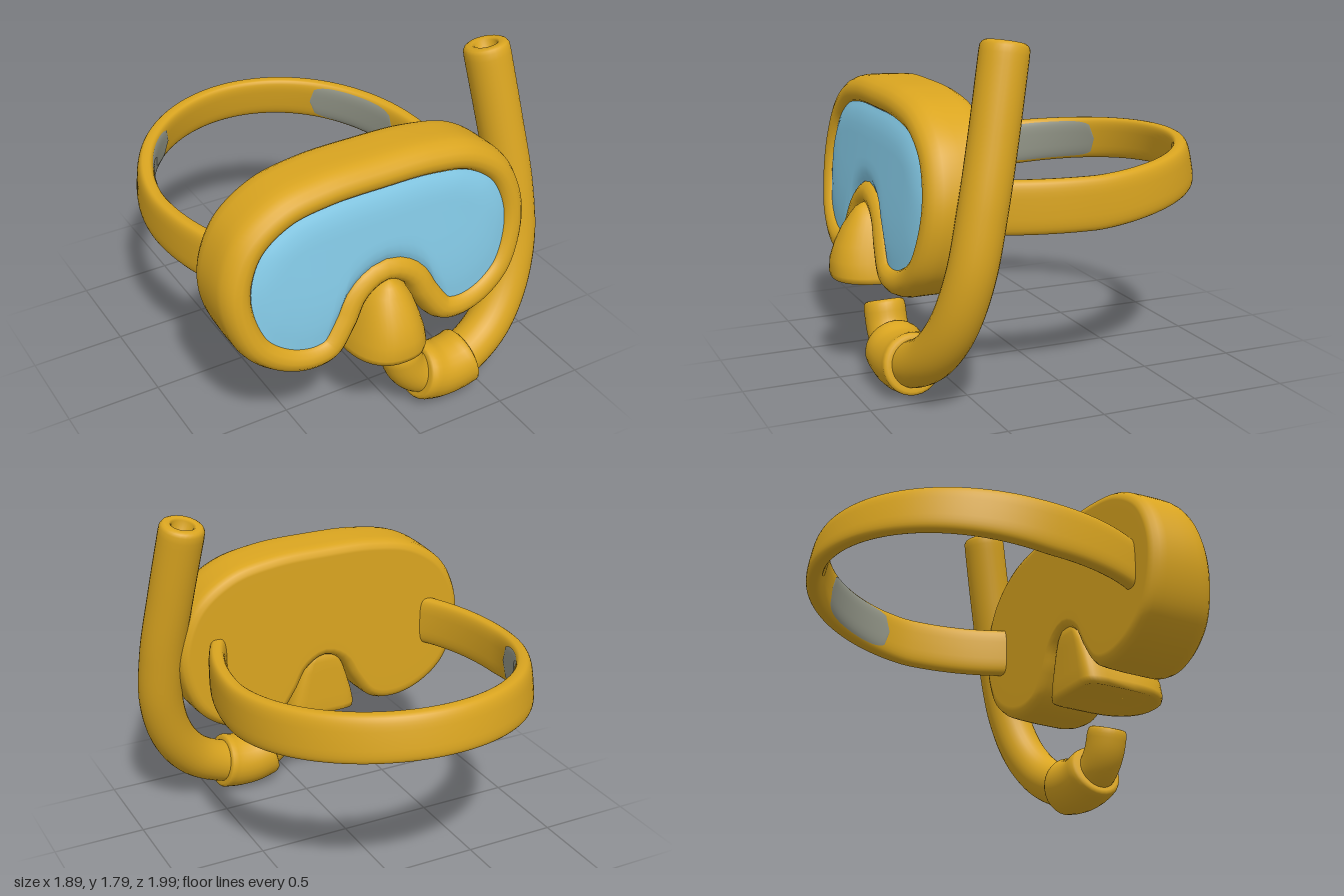
import * as THREE from 'three';

const CX = -0.095; // centre line of the mask
const V = (x, y, z) => new THREE.Vector3(x, y, z);
const spow = (v, p) => Math.sign(v) * Math.abs(v) ** p;

// Skin through rows of points; wrap closes each row into a loop. Faces are turned outwards.
function loft(rows, wrap = true) {
  const n = rows[0].length, cols = wrap ? n : n - 1, idx = [];
  for (let i = 0; i < rows.length - 1; i++) {
    for (let j = 0; j < cols; j++) {
      const k = (j + 1) % n;
      const a = i * n + j, b = i * n + k, c = (i + 1) * n + k, d = (i + 1) * n + j;
      idx.push(a, b, c, a, c, d);
    }
  }
  const pts = rows.flat();
  let vol = 0;
  const cr = V(0, 0, 0);
  for (let i = 0; i < idx.length; i += 3) vol += cr.crossVectors(pts[idx[i]], pts[idx[i + 1]]).dot(pts[idx[i + 2]]);
  if (vol < 0) idx.reverse();
  const g = new THREE.BufferGeometry().setFromPoints(pts);
  g.setIndex(idx);
  g.computeVertexNormals();
  return g;
}

// Pipe along a path; stages are [position along path 0..1, radius]
function pipe(points, stages, sides = 28) {
  const curve = new THREE.CatmullRomCurve3(points.map(p => V(...p)));
  const N = 200, fr = curve.computeFrenetFrames(N);
  return loft(stages.map(([t, r]) => {
    const c = curve.getPointAt(t), k = Math.round(t * N);
    return Array.from({ length: sides }, (_, j) => {
      const a = j / sides * Math.PI * 2;
      return c.clone().addScaledVector(fr.normals[k], r * Math.cos(a)).addScaledVector(fr.binormals[k], r * Math.sin(a));
    });
  }));
}
const span = (t0, t1, r, n) => Array.from({ length: n + 1 }, (_, i) => [t0 + (t1 - t0) * i / n, r]);

// Mask outline, clockwise from the top centre, mirrored about the centre line
const half = [[0, 1.5], [0.3, 1.49], [0.55, 1.435], [0.75, 1.29], [0.845, 1.08], [0.845, 0.88], [0.76, 0.67],
  [0.6, 0.545], [0.42, 0.503], [0.28, 0.54], [0.17, 0.68], [0.1, 0.8], [0, 0.85]];
const other = half.slice(1, -1).reverse().map(([x, y]) => [-x, y]);
const outline = new THREE.CatmullRomCurve3([...half, ...other].map(([x, y]) => V(CX + x, y, 0)), true, 'centripetal');
const N = 144;
const edge = Array.from({ length: N }, (_, i) => {
  const p = outline.getPointAt(i / N), t = outline.getTangentAt(i / N);
  return { p, nx: t.y, ny: -t.x };
});
// Gently bowed and tilted front surface
const frontZ = (x, y) => 0.75 + 0.12 * (1.45 - y) - 0.05 * (x - CX) ** 2;
// Loop moved inwards by d, then drawn by t towards a central spine
const ring = (d, t, zf) => edge.map(({ p, nx, ny }) => {
  let x = p.x + nx * d, y = p.y + ny * d;
  x += (CX + (x - CX) * 0.62 - x) * t;
  y += (1.15 - y) * t;
  return V(x, y, zf(x, y));
});

function maskFrame() {
  const rows = [];
  for (const t of [1, 0.75, 0.5, 0.25, 0.03]) rows.push(ring(0.05, t, () => 0.415));
  for (const [d, z] of [[0.045, 0.416], [0.022, 0.428], [0.008, 0.455], [0.004, 0.5], [0, 0.6]]) rows.push(ring(d, 0, () => z));
  for (const [d, h] of [[0, -0.09], [0.006, -0.055], [0.022, -0.02], [0.045, 0.002], [0.075, 0.012],
    [0.105, 0.006], [0.128, -0.01], [0.14, -0.03], [0.145, -0.06]]) {
    rows.push(ring(d, 0, (x, y) => frontZ(x, y) + h));
  }
  return loft(rows);
}

function lens() {
  const rows = [0, 0.1, 0.25, 0.5, 0.75, 1].map(t =>
    ring(0.137, t, (x, y) => frontZ(x, y) - 0.022 + 0.024 * Math.min(1, t * 3)));
  return loft(rows);
}

// Nose pocket: rounded footprints stacked upwards [y, half width, front z, back z]
function nosePocket() {
  const levels = [[0.53, 0, 0.74, 0.7], [0.515, 0.12, 0.9, 0.52], [0.495, 0.185, 0.965, 0.46], [0.5, 0.207, 0.99, 0.44],
    [0.53, 0.208, 1.0, 0.435], [0.6, 0.193, 0.995, 0.435], [0.68, 0.168, 0.97, 0.435], [0.76, 0.14, 0.93, 0.435],
    [0.82, 0.108, 0.89, 0.435], [0.86, 0.07, 0.86, 0.44], [0.88, 0.03, 0.83, 0.46], [0.884, 0, 0.8, 0.5]];
  return loft(levels.map(([y, w, zf, zb]) => Array.from({ length: 40 }, (_, j) => {
    const a = j / 40 * Math.PI * 2, c = Math.cos(a), s = Math.sin(a), zm = 0.72;
    const front = s > 0, e = front ? 0.85 : 0.3;
    return V(CX + w * spow(c, e), y, zm + (front ? zf - zm : zm - zb) * spow(s, e));
  })));
}

// Head strap: th runs round the back, v round the rounded band section
function strapPoint(th, v, grow = 1, tall = 1) {
  const c = Math.cos(th), s = Math.sin(th), back = Math.max(0, c);
  const h = (0.135 - 0.018 * back) * tall;
  const dy = h * spow(Math.sin(v), 0.6);
  const r = 0.045 * grow * spow(Math.cos(v), 0.6) - 0.2 * dy * back;
  return V(CX + (0.77 + r) * s, 0.955 + 0.08 * back ** 1.2 + dy, -0.12 - c * ((c > 0 ? 0.815 : 0.97) + r));
}
function strap() {
  return loft(Array.from({ length: 91 }, (_, i) => {
    const th = (i / 45 - 1) * 2.23;
    return Array.from({ length: 32 }, (_, j) => strapPoint(th, j / 32 * Math.PI * 2));
  }));
}
// Thin oval pad on the inner face of the strap
function strapPad(side) {
  return loft(Array.from({ length: 21 }, (_, i) => {
    const u = i / 10 - 1, th = side * (1.02 + 0.36 * u), w = 0.9 * Math.sqrt(Math.max(0, 1 - u ** 4));
    return Array.from({ length: 13 }, (_, j) => strapPoint(th, Math.PI + w * (j / 6 - 1), 1.08));
  }), false);
}

export function createModel() {
  const gold = new THREE.MeshStandardMaterial({ color: 0xdaa520 });
  gold.name = 'golden yellow rubber';
  const blue = new THREE.MeshStandardMaterial({ color: 0x87ceeb });
  blue.name = 'sky blue glass';
  const grey = new THREE.MeshStandardMaterial({ color: 0x95988a, side: THREE.DoubleSide });
  grey.name = 'grey pad';

  const model = new THREE.Group();
  model.name = 'divingMaskAndSnorkel';
  const add = (name, geometry, material = gold) => {
    const m = new THREE.Mesh(geometry, material);
    m.name = name;
    model.add(m);
  };

  add('maskFrame', maskFrame());
  add('lens', lens(), blue);
  add('nosePocket', nosePocket());
  add('strap', strap());
  add('leftStrapPad', strapPad(1), grey);
  add('rightStrapPad', strapPad(-1), grey);

  // Breathing tube with an open top
  add('snorkelTube', pipe(
    [[0.717, 1.765, 0.385], [0.775, 1.35, 0.47], [0.815, 1.0, 0.545], [0.812, 0.7, 0.605], [0.735, 0.45, 0.66],
      [0.6, 0.275, 0.71], [0.42, 0.175, 0.745], [0.3, 0.155, 0.75]],
    [[0.04, 0], [0.04, 0.05], [0.005, 0.058], [0, 0.068], [0, 0.095], [0.004, 0.108], [0.012, 0.117], ...span(0.03, 1, 0.119, 50)]));
  // Thick sleeve joining tube and mouthpiece
  add('snorkelSleeve', pipe(
    [[0.425, 0.175, 0.748], [0.34, 0.157, 0.752], [0.24, 0.157, 0.755], [0.125, 0.19, 0.757]],
    [[0, 0], [0, 0.12], [0, 0.138], [0.02, 0.15], [0.06, 0.155], ...span(0.12, 0.88, 0.153, 10),
      [0.94, 0.148], [0.98, 0.142], [1, 0.128], [1, 0]]));
  // Mouthpiece turning upwards, open at the end
  add('mouthpiece', pipe(
    [[0.2, 0.155, 0.757], [0.12, 0.19, 0.757], [0.055, 0.265, 0.757], [0.012, 0.387, 0.757]],
    [...span(0, 0.88, 0.107, 14), [0.95, 0.103], [0.985, 0.097], [1, 0.085], [1, 0.062], [0.97, 0.052], [0.8, 0.048], [0.8, 0]]));

  return model;
}
